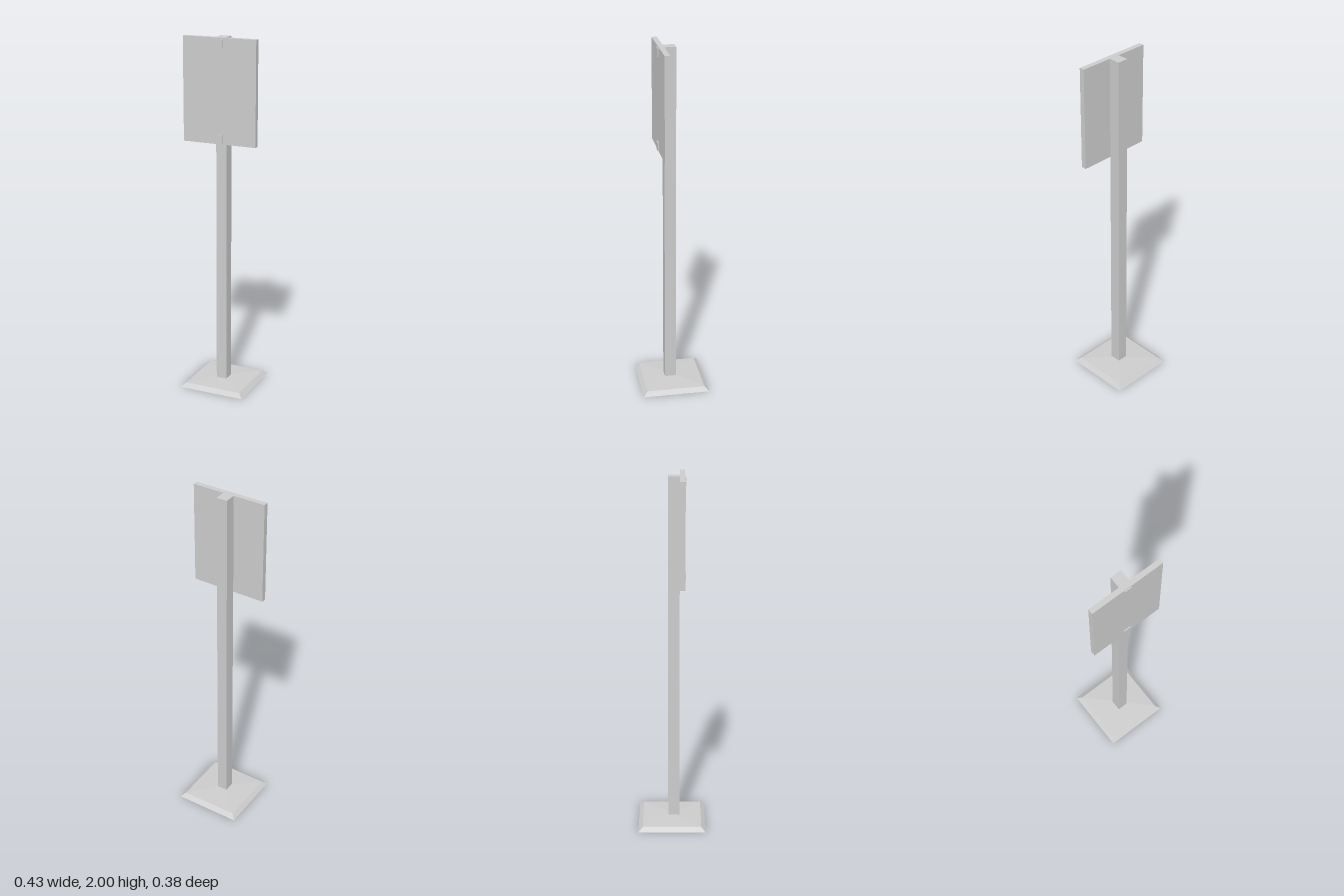
import * as THREE from 'three';

const material = new THREE.MeshStandardMaterial({ color: 0xcccccc, flatShading: true });

// Box given by its min and max corners
function box(name, [x0, y0, z0], [x1, y1, z1]) {
  const mesh = new THREE.Mesh(new THREE.BoxGeometry(x1 - x0, y1 - y0, z1 - z0), material);
  mesh.position.set((x0 + x1) / 2, (y0 + y1) / 2, (z0 + z1) / 2);
  mesh.name = name;
  return mesh;
}

export function createModel() {
  const group = new THREE.Group();
  group.name = 'signStand';

  // Square base: steep bevelled rim, then a shallow pyramid up to the post
  const profile = [[0, 0], [0.192, 0], [0.167, 0.022], [0.03, 0.032], [0, 0.032]]
    .map(([half, y]) => new THREE.Vector2(half * Math.SQRT2, y));
  const base = new THREE.Mesh(new THREE.LatheGeometry(profile, 4, Math.PI / 4), material);
  base.name = 'base';
  group.add(base);

  // Square post, set so its front touches the panel
  group.add(box('post', [-0.031, 0.025, -0.022], [0.031, 2, 0.042]));

  // Sign panel
  group.add(box('panel', [-0.213, 1.425, 0.042], [0.213, 2, 0.071]));

  // Small clips on the panel face, near the top and bottom edges
  for (const [name, y] of [['topClip', 1.947], ['bottomClip', 1.43]]) {
    group.add(box(name, [-0.021, y, 0.07], [0.021, y + 0.046, 0.077]));
  }

  return group;
}
